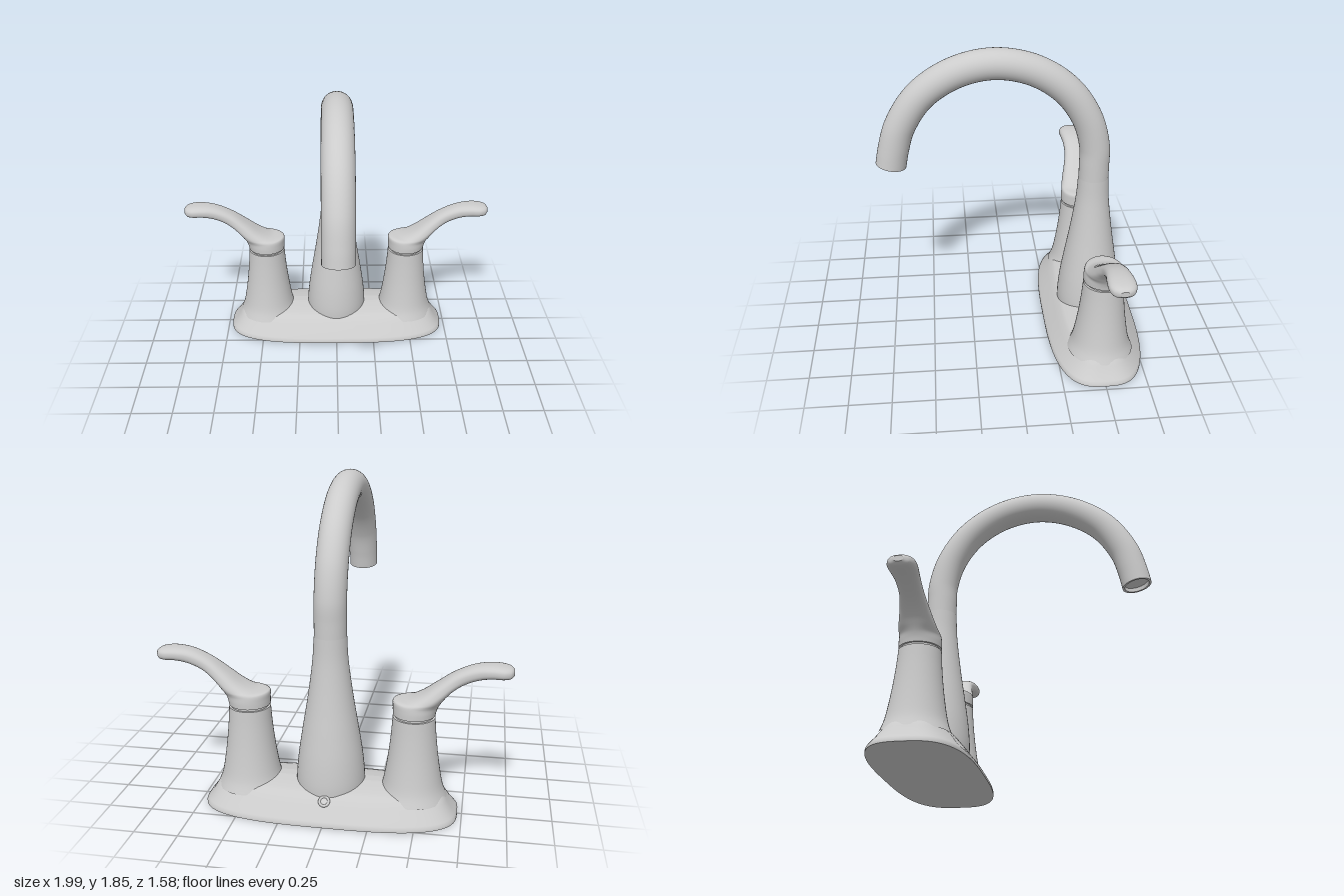
import * as THREE from 'three';

const V = (x, y, z = 0) => new THREE.Vector3(x, y, z);

// Skin over closed rings (counter-clockwise about the path), with flat end caps
function loft(rings) {
  const n = rings[0].length, pos = [], idx = [];
  const push = p => pos.push(p.x, p.y, p.z) / 3 - 1;
  rings.forEach(r => r.forEach(push));
  for (let i = 0; i < rings.length - 1; i++) {
    for (let j = 0; j < n; j++) {
      const k = (j + 1) % n, a = i * n + j, b = i * n + k;
      idx.push(a, b, b + n, a, b + n, a + n);
    }
  }
  [rings[0], rings[rings.length - 1]].forEach((ring, end) => {
    const centre = ring.reduce((s, p) => s.add(p), V(0, 0)).divideScalar(n);
    const c = push(centre), first = c + 1;
    ring.forEach(push);
    for (let j = 0; j < n; j++) {
      const a = first + j, b = first + (j + 1) % n;
      end ? idx.push(c, a, b) : idx.push(c, b, a);
    }
  });
  const g = new THREE.BufferGeometry();
  g.setAttribute('position', new THREE.Float32BufferAttribute(pos, 3));
  g.setIndex(idx);
  g.computeVertexNormals();
  return g;
}

// Superellipse ring in the plane of two half-axis vectors
function ring(centre, u, v, power, n) {
  const f = t => Math.sign(t) * Math.pow(Math.abs(t), 2 / power);
  return Array.from({ length: n }, (_, j) => {
    const t = j / n * Math.PI * 2;
    return centre.clone().addScaledVector(u, f(Math.cos(t))).addScaledVector(v, f(Math.sin(t)));
  });
}

// Smooth lathe through a few [radius, y] points
function turned(points, steps = 32) {
  const curve = new THREE.SplineCurve(points.map(p => new THREE.Vector2(...p)));
  return new THREE.LatheGeometry(curve.getPoints(steps), 48);
}

export function createModel() {
  const model = new THREE.Group();
  const grey = new THREE.MeshStandardMaterial({ color: 0xcccccc, roughness: 0.5 });
  const open = new THREE.MeshStandardMaterial({ color: 0xcccccc, roughness: 0.5, side: THREE.DoubleSide });
  const add = (parent, name, geometry, material = grey) => {
    const m = new THREE.Mesh(geometry, material);
    m.name = name;
    parent.add(m);
    return m;
  };

  const body = new THREE.Group();
  body.name = 'faucet';
  body.position.z = -0.5;
  model.add(body);

  // Base plate: flared foot, then a gently crowned deck [y, half length, half depth]
  const levels = [
    [0, 0.725, 0.29], [0.015, 0.725, 0.29], [0.03, 0.714, 0.281], [0.06, 0.69, 0.256],
    [0.1, 0.665, 0.225], [0.135, 0.645, 0.195], [0.148, 0.63, 0.175], [0.158, 0.6, 0.145],
    [0.17, 0.54, 0.09], [0.178, 0.45, 0.03],
  ];
  add(body, 'basePlate', loft(levels.map(([y, a, b]) => ring(V(0, y), V(a, 0), V(0, 0, -b), 3, 96))));

  // Spout column
  add(body, 'spoutColumn', turned([
    [0.193, 0.1], [0.195, 0.19], [0.183, 0.32], [0.16, 0.47], [0.135, 0.62],
    [0.113, 0.77], [0.098, 0.9], [0.092, 1.02],
  ], 40));

  // Gooseneck spout, sweeping forward over the basin
  const path = new THREE.CatmullRomCurve3([
    V(0, 0.98, 0), V(0, 1.1, 0), V(0, 1.22, 0.003), V(0, 1.4, 0.053), V(0, 1.58, 0.175),
    V(0, 1.708, 0.365), V(0, 1.755, 0.59), V(0, 1.711, 0.81), V(0, 1.583, 1.01),
    V(0, 1.4, 1.135), V(0, 1.25, 1.182), V(0, 1.152, 1.202),
  ]);
  add(body, 'spout', new THREE.TubeGeometry(path, 96, 0.09, 36), open);

  // Outlet: rim lip and recessed aerator
  const outlet = new THREE.Group();
  outlet.name = 'outlet';
  outlet.position.copy(path.getPoint(1));
  outlet.quaternion.setFromUnitVectors(V(0, 0, 1), path.getTangent(1));
  body.add(outlet);
  add(outlet, 'outletRim', new THREE.RingGeometry(0.076, 0.09, 36), open);
  const bore = add(outlet, 'outletBore', new THREE.CylinderGeometry(0.076, 0.076, 0.03, 36, 1, true), open);
  bore.rotation.x = Math.PI / 2;
  bore.position.z = -0.015;
  add(outlet, 'aerator', new THREE.CircleGeometry(0.076, 36), open).position.z = -0.025;

  // Lift-rod hole on the back of the deck
  const rod = new THREE.Group();
  rod.name = 'liftRodHole';
  rod.position.set(0, 0.122, -0.212);
  rod.rotation.x = -Math.PI / 2 - 0.75;
  body.add(rod);
  add(rod, 'liftRodRim', new THREE.TorusGeometry(0.026, 0.008, 8, 20));
  add(rod, 'liftRodPlug', new THREE.CircleGeometry(0.026, 20), open).position.z = 0.002;

  // Lever sections: [outer/lower x, y, inner/upper x, y, half width]
  const sections = [
    [0.585, 0.594, 0.35, 0.594, 0.118], [0.591, 0.62, 0.349, 0.635, 0.118],
    [0.599, 0.642, 0.35, 0.674, 0.115], [0.607, 0.658, 0.37, 0.681, 0.113],
    [0.622, 0.682, 0.43, 0.686, 0.107], [0.645, 0.714, 0.5, 0.718, 0.096],
    [0.68, 0.75, 0.585, 0.78, 0.08], [0.735, 0.787, 0.68, 0.848, 0.066],
    [0.81, 0.818, 0.785, 0.895, 0.066], [0.88, 0.832, 0.875, 0.909, 0.074],
    [0.94, 0.832, 0.943, 0.906, 0.074], [0.978, 0.837, 0.98, 0.897, 0.056],
    [0.996, 0.852, 0.996, 0.884, 0.026],
  ];
  const lower = new THREE.CatmullRomCurve3(sections.map(s => V(s[0], s[1])));
  const upper = new THREE.CatmullRomCurve3(sections.map(s => V(s[2], s[3])));
  const width = new THREE.CatmullRomCurve3(sections.map((s, i) => V(i, s[4])));
  const leverRings = Array.from({ length: 61 }, (_, i) => {
    const t = i / 60, b = lower.getPoint(t), u = upper.getPoint(t);
    const power = 2 + 0.5 * THREE.MathUtils.smoothstep(t, 0.2, 0.5);
    return ring(b.clone().add(u).multiplyScalar(0.5), u.clone().sub(b).multiplyScalar(0.5),
      V(0, 0, width.getPoint(t).y), power, 40);
  });
  const lever = loft(leverRings);
  const pedestal = turned([
    [0.195, 0.105], [0.172, 0.165], [0.156, 0.24], [0.138, 0.36], [0.125, 0.48], [0.118, 0.58],
  ]);

  // Two handles, the second turned half way round
  for (const side of ['left', 'right']) {
    const handle = new THREE.Group();
    handle.name = side + 'Handle';
    handle.rotation.y = side === 'left' ? 0 : Math.PI;
    body.add(handle);
    add(handle, 'pedestal', pedestal).position.x = 0.4675;
    const top = add(handle, 'pedestalTop', new THREE.CircleGeometry(0.118, 48));
    top.rotation.x = -Math.PI / 2;
    top.position.set(0.4675, 0.58, 0);
    add(handle, 'neck', new THREE.CylinderGeometry(0.106, 0.106, 0.03, 48)).position.set(0.4675, 0.585, 0);
    add(handle, 'lever', lever);
  }
  return model;
}
